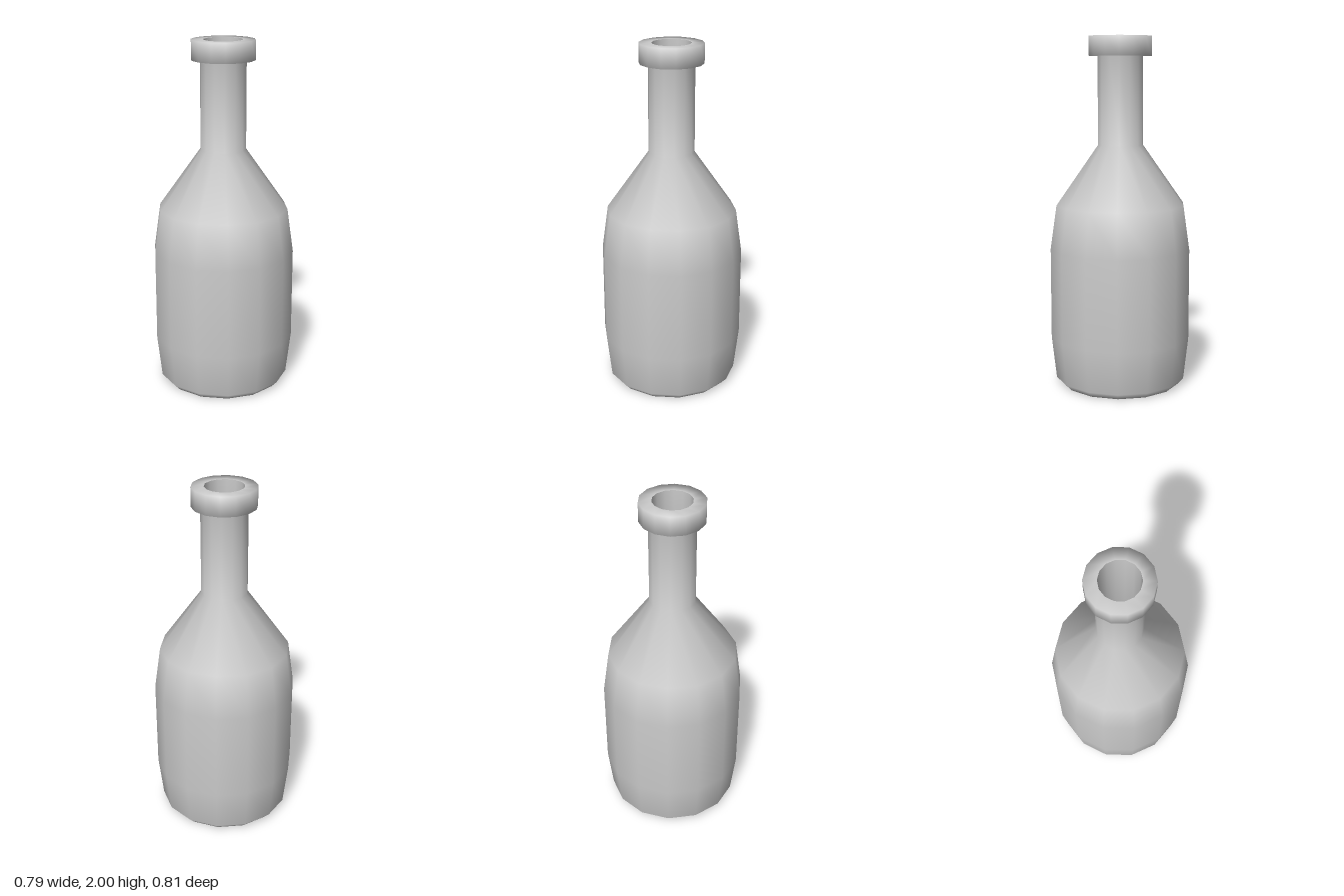
import * as THREE from 'three';

const SIDES = 14;

// Smooth-shaded lathe from [radius, height] pairs, a corner facing +z
function turned(name, profile) {
  const points = profile.map(([r, y]) => new THREE.Vector2(r, y));
  const material = new THREE.MeshStandardMaterial({ color: 0xcccccc, side: THREE.DoubleSide });
  const mesh = new THREE.Mesh(new THREE.LatheGeometry(points, SIDES), material);
  mesh.name = name;
  return mesh;
}

export function createModel() {
  const bottle = new THREE.Group();
  bottle.name = 'bottle';

  // Base, bevel, belly, shoulder, neck and the square-cut lip
  bottle.add(turned('outerShell', [
    [0, 0.005], [0.345, 0], [0.378, 0.035], [0.406, 0.28], [0.406, 0.8],
    [0.37, 1.05], [0.13, 1.39], [0.13, 1.89], [0.18, 1.89], [0.18, 2], [0.11, 2],
  ]));

  // Hollow inside, from the mouth down to the floor
  bottle.add(turned('innerWall', [
    [0.11, 2], [0.11, 1.385], [0.35, 1.04], [0.385, 0.8],
    [0.385, 0.28], [0.355, 0.05], [0, 0.03],
  ]));

  return bottle;
}
